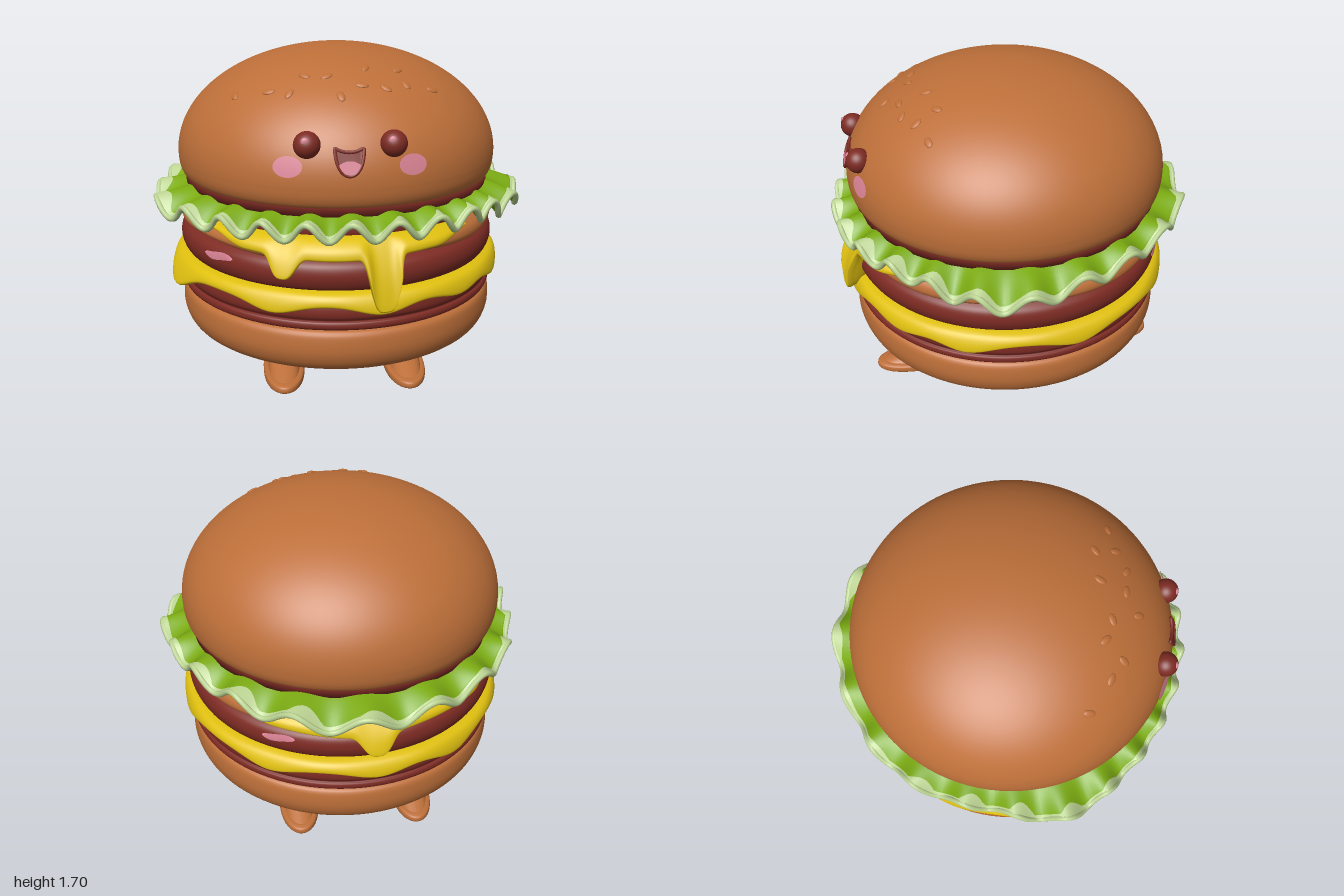
import * as THREE from 'three';
import { mergeVertices } from 'three/addons/utils/BufferGeometryUtils.js';

const V2 = (p) => new THREE.Vector2(p[0], p[1]);
const rad = THREE.MathUtils.degToRad;
const clamp = THREE.MathUtils.clamp;
const TAU = Math.PI * 2;

const material = (name, color, side = THREE.FrontSide) => {
  const m = new THREE.MeshStandardMaterial({ color, side });
  m.name = name;
  return m;
};

// Bell-shaped bump around an angle given in degrees
const bump = (a, centre, width, power = 2) => {
  let d = (a - rad(centre)) % TAU;
  if (d > Math.PI) d -= TAU;
  if (d < -Math.PI) d += TAU;
  return Math.exp(-Math.pow(Math.abs(d) / rad(width), power));
};

// Turned ring whose section is changed around the circle by rule(r, y, angle) -> [r, y]
function ring(points, rule, segments = 96, start = 0, length = TAU) {
  let g = new THREE.LatheGeometry(points.map(V2), segments, start, length);
  const p = g.attributes.position;
  if (rule) {
    for (let i = 0; i < p.count; i++) {
      const x = p.getX(i), z = p.getZ(i), a = Math.atan2(x, z);
      const [r, y] = rule(Math.hypot(x, z), p.getY(i), a);
      p.setXYZ(i, r * Math.sin(a), y, r * Math.cos(a));
    }
  }
  g.deleteAttribute('uv');
  g.deleteAttribute('normal');
  g = mergeVertices(g, 1e-5);
  g.computeVertexNormals();
  return g;
}

// Smooth outline through a few points, optionally closed to the axis
const outline = (pts, n = 24) => new THREE.SplineCurve(pts.map(V2)).getPoints(n).map((v) => [v.x, v.y]);
const capped = (pts) => [[0, pts[0][1]], ...outline(pts), [0, pts[pts.length - 1][1]]];

// Crown bun: half ellipse above its widest line
const BUN = { r: 0.885, y: 1.12, h: 0.58 };
const bunRadius = (y) => BUN.r * Math.sqrt(Math.max(0, 1 - Math.pow(Math.max(0, y - BUN.y) / BUN.h, 2)));
const bunZ = (x, y) => Math.sqrt(Math.max(0, bunRadius(y) ** 2 - x * x));

// Lettuce leaf: u runs from the hidden inside (0) to the ruffled edge (1)
const ruffle = (a) => 22 * a + 5 * Math.sin(a);
function leaf(u, a) {
  const p = ruffle(a), w = u * u;
  const edge = 0.96 + 0.06 * bump(a, 78, 12) + 0.075 * bump(a, -70, 15) + 0.045 * bump(a, 180, 30)
    + 0.012 * Math.sin(p + 0.8) + 0.01 * Math.sin(5 * a);
  const y = 0.975 - 0.07 * w + 0.045 * w * Math.cos(p)
    - w * (0.035 * bump(a, 80, 18) + 0.025 * bump(a, 62, 8)) + 0.008 * w * Math.sin(3 * a + 1);
  return [0.72 + u * (edge - 0.72), y];
}

export function createModel() {
  const bun = material('bun brown', 0xbd6f39);
  const red = material('meat red', 0x7d2b23);
  const cheese = material('cheese yellow', 0xe0c010, THREE.DoubleSide);
  const green = material('lettuce green', 0x7bab12, THREE.DoubleSide);
  const pale = material('pale green', 0xbbd392, THREE.DoubleSide);
  const pink = material('pink', 0xdb8496, THREE.DoubleSide);

  const model = new THREE.Group();
  model.name = 'burger';
  const body = new THREE.Group();
  body.name = 'body';
  body.position.set(-0.01, 0, 0.02);
  model.add(body);
  const add = (name, geometry, mat, parent = body) => {
    const m = new THREE.Mesh(geometry, mat);
    m.name = name;
    parent.add(m);
    return m;
  };

  // Buns
  add('bottomBun', ring(capped([[0.62, 0.097], [0.76, 0.11], [0.85, 0.155], [0.888, 0.23],
    [0.89, 0.31], [0.875, 0.357], [0.83, 0.372]])), bun);
  const dome = [[0, 1.0], ...outline([[0.835, 0.998], [0.862, 1.015], [0.88, 1.06], [BUN.r, BUN.y]], 10)];
  for (let i = 1; i <= 32; i++) {
    const t = (i / 32) * Math.PI / 2;
    dome.push([BUN.r * Math.cos(t), BUN.y + BUN.h * Math.sin(t)]);
  }
  add('topBun', ring(dome), bun);
  add('topBunLining', ring([[0, 0.96], [0.85, 0.96], [0.85, 1.012], [0, 1.012]]), red);

  // Fillings
  add('lowerPatty', ring(capped([[0.83, 0.368], [0.875, 0.376], [0.888, 0.395], [0.884, 0.417], [0.872, 0.424],
    [0.888, 0.45], [0.886, 0.5], [0.86, 0.55], [0.8, 0.565]])), red);
  add('upperPatty', ring(capped([[0.82, 0.568], [0.865, 0.59], [0.888, 0.65], [0.876, 0.71], [0.83, 0.745]])), red);
  add('slice', ring(capped([[0.8, 0.738], [0.855, 0.745], [0.88, 0.77], [0.868, 0.808], [0.82, 0.842], [0.74, 0.865]]),
    (r, y, a) => [r, y + 0.012 * Math.sin(5 * a + 0.5) * clamp((0.8 - y) / 0.05, 0, 1) * clamp((r - 0.7) / 0.1, 0, 1)]), bun);
  add('tomato', ring(capped([[0.78, 0.83], [0.815, 0.85], [0.815, 0.9], [0.78, 0.93]])), red);

  // Lower cheese with rounded scallops
  const scallops = [[-70, 0.085], [-25, 0.05], [10, 0.05], [40, 0.04], [65, 0.05], [103, 0.045],
    [148, 0.04], [185, 0.04], [214, 0.05], [252, 0.035]];
  add('lowerCheese', ring(outline([[0.82, 0.53], [0.88, 0.522], [0.905, 0.515], [0.922, 0.527], [0.915, 0.555],
    [0.885, 0.576], [0.8, 0.584]]), (r, y, a) => {
    const w = clamp((0.58 - y) / 0.05, 0, 1);
    let drop = 0;
    for (const [c, d] of scallops) drop += d * bump(a, c, 10);
    return [r + w * (0.12 * drop + 0.035 * bump(a, -72, 12)), y - w * drop];
  }, 180), cheese);

  // Upper cheese: two draped corners, each with melting drips [angle, depth, half width]
  const meltProfile = outline([[0.8, 0.8], [0.865, 0.787], [0.895, 0.777], [0.915, 0.79], [0.905, 0.822],
    [0.85, 0.85], [0.74, 0.867]], 30);
  const melt = (name, from, to, drips) => add(name, ring(meltProfile, (r, y, a) => {
    const t = ((a - rad(from) + TAU + 0.01) % TAU - 0.01) / rad(to - from);
    const env = THREE.MathUtils.smoothstep(Math.min(t, 1 - t), 0, 0.18);
    const w = clamp((0.85 - y) / 0.06, 0, 1) * env;
    let drop = 0;
    for (const [c, d, width, power] of drips) drop += d * bump(a, c, width, power);
    return [r - (1 - env) * 0.045 + w * 0.06 * Math.min(1, drop / 0.14),
      y + (0.85 - y) * (1 - env) * 0.5 - w * drop];
  }, 160, rad(from), rad(to - from)), cheese);
  melt('frontCheeseMelt', -52, 46, [[-21, 0.1, 4.5, 3], [10, 0.265, 5, 4], [-5, 0.025, 22, 2]]);
  melt('backCheeseMelt', 130, 242, [[184, 0.1, 5.5, 3], [178, 0.025, 20, 2]]);

  // Shine marks on the upper patty
  for (const [c, w] of [[-48, 7], [151, 6]]) {
    add('pattyShine', ring([[0.891, 0.665], [0.891, 0.685], [0.886, 0.708]], (r, y, a) => {
      const t = clamp(1 - ((a - rad(c)) / rad(w)) ** 2, 0, 1);
      return [r, 0.687 + (y - 0.687) * Math.sqrt(t) + 0.008 * Math.sin((a - rad(c)) * 22)];
    }, 16, rad(c - w), rad(2 * w)), pink);
  }

  // Ruffled lettuce with a pale rim
  const sheet = [];
  for (let i = 0; i <= 9; i++) sheet.push([0.1 + 0.1 * i, -0.01]);
  for (let i = 9; i >= 0; i--) sheet.push([0.1 + 0.1 * i, 0.01]);
  add('lettuce', ring(sheet, (u, o, a) => {
    const [r, y] = leaf(u, a);
    return [r, y + o];
  }, 320), green);
  add('lettucePaleEdge', ring([[1, 0], [0.67, 0], [0.33, 0], [0.01, 0]], (t, o, a) => {
    const [r, y] = leaf(1 - t * (0.06 + 0.22 * Math.max(0, Math.sin(ruffle(a) + 0.6)) * (0.6 + 0.4 * Math.sin(3 * a))), a);
    return [r, y + 0.014];
  }, 320), pale);
  const rim = [];
  for (let i = 0; i < 280; i++) {
    const a = (i / 280) * TAU, [r, y] = leaf(1, a);
    rim.push(new THREE.Vector3(r * Math.sin(a), y, r * Math.cos(a)));
  }
  add('lettuceRim', new THREE.TubeGeometry(new THREE.CatmullRomCurve3(rim, true), 420, 0.016, 8, true), pale);

  // Face, laid on the bun surface
  const face = new THREE.Group();
  face.name = 'face';
  body.add(face);
  const onBun = (g, cx, cy, lift) => {
    const p = g.attributes.position;
    for (let i = 0; i < p.count; i++) {
      const x = p.getX(i) + cx, y = p.getY(i) + cy;
      p.setXYZ(i, x, y, bunZ(x, y) + lift);
    }
    g.computeVertexNormals();
    return g;
  };
  for (const s of [-1, 1]) {
    const x = s * 0.208;
    const eye = add('eye', new THREE.SphereGeometry(0.066, 32, 20), red, face);
    eye.position.set(x, 1.315, bunZ(x, 1.315) + 0.012);
    const glint = add('eyeGlint', new THREE.SphereGeometry(0.02, 16, 10), pink, face);
    glint.position.set(x - 0.012, 1.342, eye.position.z + 0.051);
    glint.scale.z = 0.5;
    const cheek = new THREE.CircleGeometry(1, 32).scale(0.07, 0.05, 1).rotateZ(-s * 0.12);
    add('cheek', onBun(cheek, s * 0.302, 1.212, 0.012), pink, face);
  }
  const mouth = new THREE.Shape();
  mouth.moveTo(-0.07, 0.062);
  mouth.bezierCurveTo(-0.068, -0.015, -0.04, -0.065, 0, -0.065);
  mouth.bezierCurveTo(0.04, -0.065, 0.068, -0.015, 0.07, 0.062);
  mouth.quadraticCurveTo(0, 0.025, -0.07, 0.062);
  const MX = -0.008, MY = 1.24;
  add('mouth', onBun(new THREE.ShapeGeometry(mouth, 12), MX, MY, 0.01), red, face);
  const lip = mouth.getSpacedPoints(40).slice(0, -1)
    .map((p) => new THREE.Vector3(p.x + MX, p.y + MY, bunZ(p.x + MX, p.y + MY) + 0.008));
  add('lips', new THREE.TubeGeometry(new THREE.CatmullRomCurve3(lip, true), 80, 0.009, 8, true), red, face);
  const tongue = new THREE.Shape();
  tongue.moveTo(-0.053, -0.012);
  tongue.bezierCurveTo(-0.043, -0.045, -0.025, -0.057, 0, -0.057);
  tongue.bezierCurveTo(0.025, -0.057, 0.043, -0.045, 0.053, -0.012);
  tongue.quadraticCurveTo(0, 0.026, -0.053, -0.012);
  add('tongue', onBun(new THREE.ShapeGeometry(tongue, 12), MX, MY, 0.016), pink, face);

  // Sesame seeds, barely raised
  const seeds = [[-0.55, 0.42], [-0.38, 0.52], [-0.28, 0.58], [-0.2, 0.48], [-0.09, 0.51], [-0.03, 0.65], [0.08, 0.58],
    [0.11, 0.44], [0.2, 0.58], [0.28, 0.41], [0.31, 0.52], [0.45, 0.48]];
  seeds.forEach(([x, z], i) => {
    const k = Math.sqrt(1 - (x * x + z * z) / BUN.r ** 2);
    const seed = add('sesameSeed', new THREE.SphereGeometry(1, 16, 10).scale(0.02, 0.009, 0.034).rotateY(i * 1.3), bun);
    seed.position.set(x, BUN.y + BUN.h * k, z);
    const n = new THREE.Vector3(x / BUN.r ** 2, k / BUN.h, z / BUN.r ** 2).normalize();
    seed.quaternion.setFromUnitVectors(new THREE.Vector3(0, 1, 0), n);
  });

  // Feet: a long flat sole and a wedge whose top leans towards the heel
  const stadium = (z) => Math.sign(z) * Math.pow(Math.abs(z), 0.8);
  const foot = (name, x, z, half, turn) => {
    const g = new THREE.Group();
    g.name = name;
    g.position.set(x, 0, z);
    g.rotation.y = turn;
    model.add(g);
    const sole = ring(capped([[0.88, 0], [0.98, 0.008], [1, 0.024], [0.97, 0.04], [0.86, 0.047]]), null, 40);
    const leg = new THREE.CylinderGeometry(1, 1, 0.08, 40, 4);
    const p = sole.attributes.position, q = leg.attributes.position;
    for (let i = 0; i < p.count; i++) p.setXYZ(i, p.getX(i) * 0.11, p.getY(i), stadium(p.getZ(i)) * half);
    for (let i = 0; i < q.count; i++) {
      const t = q.getY(i) / 0.08 + 0.5, len = half * (0.96 - 0.44 * t);
      q.setXYZ(i, q.getX(i) * 0.085, 0.04 + 0.08 * t, stadium(q.getZ(i)) * len - half * 0.98 + len);
    }
    sole.computeVertexNormals();
    leg.computeVertexNormals();
    add('sole', sole, bun, g);
    add('leg', leg, bun, g);
  };
  for (const [side, x] of [['Right', -0.34], ['Left', 0.31]]) {
    foot('front' + side + 'Foot', x, 0.555, 0.295, 0);
    foot('back' + side + 'Foot', x, -0.53, 0.26, Math.PI);
  }
  return model;
}
